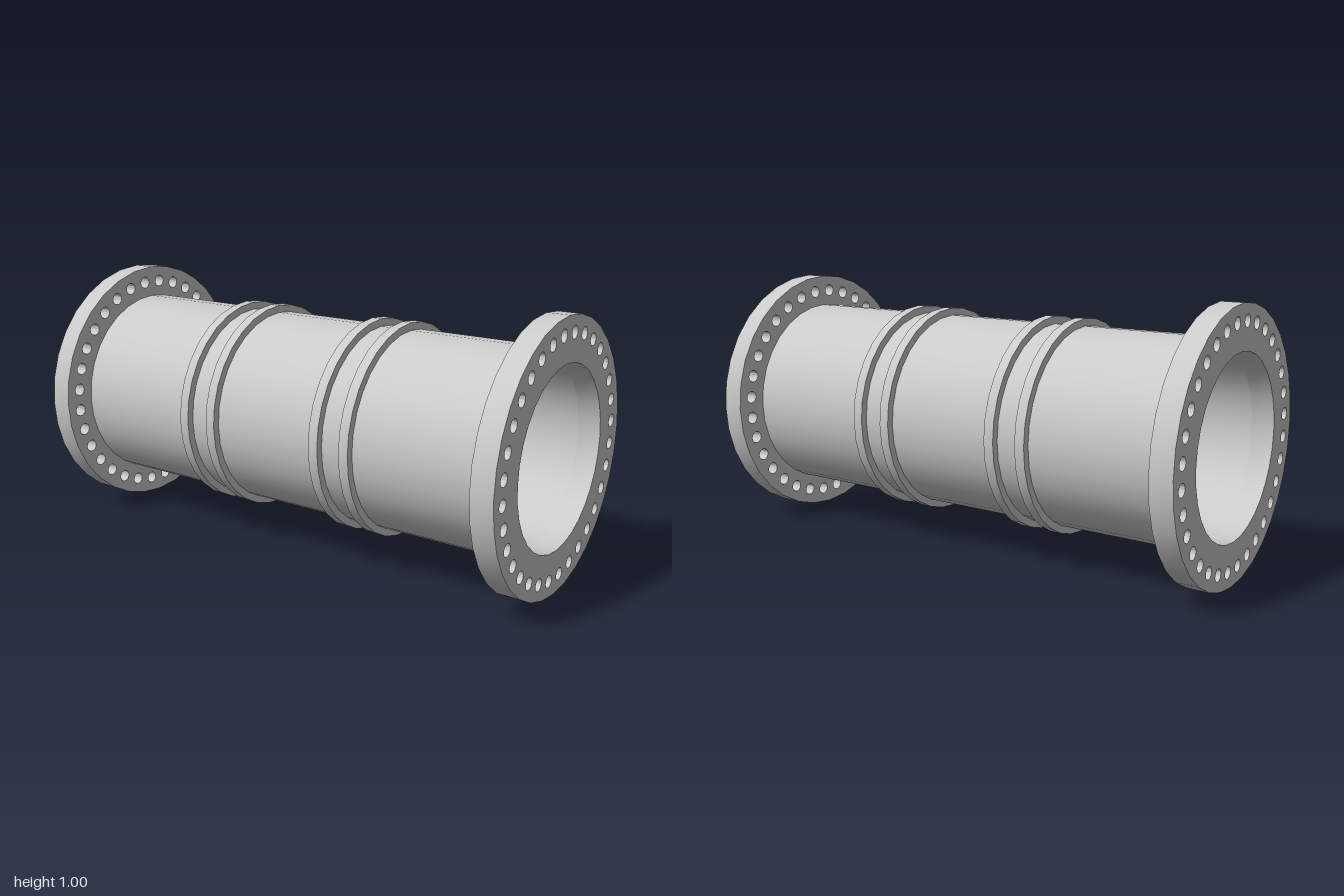
import * as THREE from 'three';
import { toCreasedNormals } from 'three/addons/utils/BufferGeometryUtils.js';

const SIDES = 32;
const BORE = 0.335, PIPE = 0.377, RIB = 0.405, FLANGE = 0.5;
const FLANGE_WIDTH = 0.085;

// Corner points of a regular polygon, counter-clockwise, first corner at the top
function circlePoints(radius, sides, cx = 0, cy = 0) {
  return Array.from({ length: sides }, (_, i) => {
    const a = (i / sides) * Math.PI * 2;
    return new THREE.Vector2(cx - Math.sin(a) * radius, cy + Math.cos(a) * radius);
  });
}

// Ring of given width with its axis along x, centred on the origin
function ringGeometry(outer, inner, width, holes = []) {
  const shape = new THREE.Shape(circlePoints(outer, SIDES));
  shape.holes.push(new THREE.Path(circlePoints(inner, SIDES)), ...holes);
  const geometry = new THREE.ExtrudeGeometry(shape, { depth: width, bevelEnabled: false });
  geometry.translate(0, 0, -width / 2);
  geometry.rotateY(Math.PI / 2);
  return toCreasedNormals(geometry, 0.6);
}

export function createModel() {
  const group = new THREE.Group();
  const material = new THREE.MeshStandardMaterial({ color: 0xcccccc });
  const add = (name, geometry, x) => {
    const mesh = new THREE.Mesh(geometry, material);
    mesh.name = name;
    mesh.position.set(x, FLANGE, 0);
    group.add(mesh);
  };

  // Hollow pipe between the flanges
  add('pipe', ringGeometry(PIPE, BORE, 2 - 2 * FLANGE_WIDTH), 0);

  // Bolt circle, turned slightly off the vertical
  const boltHoles = Array.from({ length: 32 }, (_, i) => {
    const a = THREE.MathUtils.degToRad(6.3 + i * 11.25);
    return new THREE.Path(circlePoints(0.0235, 24, Math.sin(a) * 0.438, Math.cos(a) * 0.438));
  });
  const flange = ringGeometry(FLANGE, BORE, FLANGE_WIDTH, boltHoles);
  const rib = ringGeometry(RIB, PIPE - 0.01, 0.039);

  // End flanges and paired ribs, mirrored left and right
  for (const [side, s] of [['left', 1], ['right', -1]]) {
    add(`${side}Flange`, flange, s * (1 - FLANGE_WIDTH / 2));
    add(`${side}InnerRib`, rib, s * 0.24);
    add(`${side}OuterRib`, rib, s * 0.37);
  }
  return group;
}
